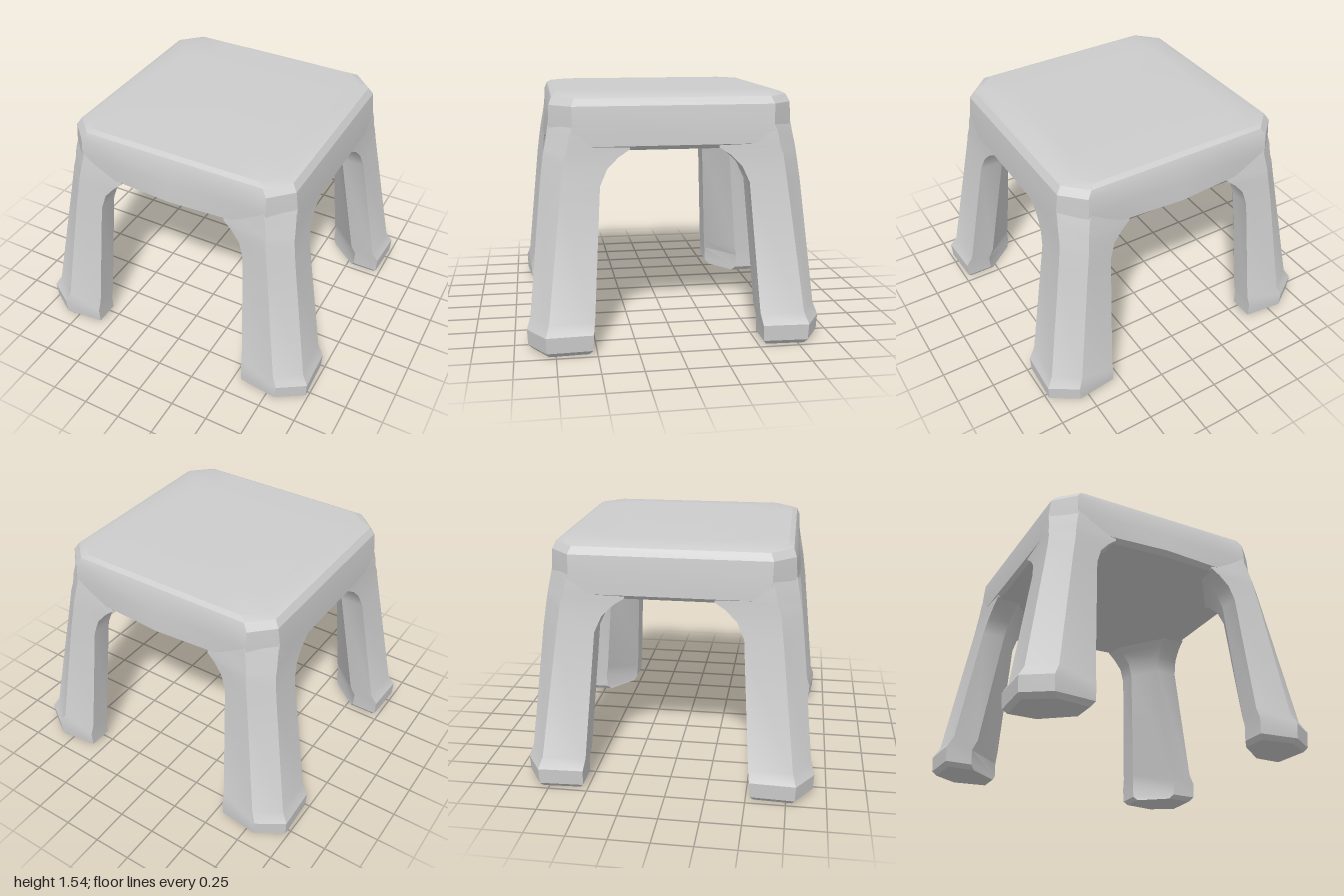
import * as THREE from 'three';
import { toCreasedNormals } from 'three/addons/utils/BufferGeometryUtils.js';

const plastic = new THREE.MeshStandardMaterial({ color: 0xcccccc });
plastic.name = 'light grey plastic';

// Skin a stack of rings (bottom to top, each running from +x towards +z) and cap both ends.
function loft(rings) {
  const n = rings[0].length;
  const index = [];
  for (let r = 0; r < rings.length - 1; r++) {
    for (let i = 0; i < n; i++) {
      const j = (i + 1) % n;
      const a = r * n + i, d = r * n + j;
      index.push(a, a + n, d + n, a, d + n, d);
    }
  }
  const top = (rings.length - 1) * n;
  for (let i = 1; i < n - 1; i++) {
    index.push(0, i, i + 1, top, top + i + 1, top + i);
  }
  const geometry = new THREE.BufferGeometry();
  geometry.setAttribute('position', new THREE.Float32BufferAttribute(rings.flat(2), 3));
  geometry.setIndex(index);
  return toCreasedNormals(geometry, 0.42);
}

// Square with cut corners; the front and back edges bow out in the middle.
function seatRing([y, hx, hz, c, bow]) {
  return [
    [hx, y, -hz + c], [hx, y, hz - c], [hx - c, y, hz], [0.38, y, hz],
    [0, y, hz + bow], [-0.38, y, hz], [-hx + c, y, hz],
    [-hx, y, hz - c], [-hx, y, -hz + c], [-hx + c, y, -hz], [-0.38, y, -hz],
    [0, y, -hz - bow], [0.38, y, -hz], [hx - c, y, -hz],
  ];
}

// Six-sided leg section: outer corner and inner corner are both cut away.
function legRing([y, xo, zo, xi, zi, cx, cz, d], sx, sz) {
  const ring = [
    [xo - 0.012, zi], [xo, zo - cz], [xo - cx, zo],
    [xi, zo - 0.03], [xi, zo - d], [xo - d, zi],
  ].map(([x, z]) => [x * sx, y, z * sz]);
  return sx * sz < 0 ? ring.reverse() : ring;
}

export function createModel() {
  const group = new THREE.Group();
  group.name = 'stool';
  const add = (name, geometry) => {
    const mesh = new THREE.Mesh(geometry, plastic);
    mesh.name = name;
    group.add(mesh);
  };

  // Seat slab with apron, rounded shoulder and faintly raised top: y, half x, half z, corner cut, bow
  add('seat', loft([
    [1.208, 0.755, 0.725, 0.13, 0.02],
    [1.235, 0.782, 0.755, 0.14, 0.025],
    [1.36, 0.778, 0.757, 0.14, 0.012],
    [1.475, 0.765, 0.75, 0.13, 0],
    [1.52, 0.735, 0.732, 0.13, 0],
    [1.537, 0.69, 0.70, 0.12, 0],
    [1.545, 0.56, 0.45, 0.04, 0],
  ].map(seatRing)));

  // Splayed legs: flared foot, straight shaft, arched gusset, tip tucked into the seat
  // y, outer x, outer z, inner x, inner z, corner cut x, corner cut z, inner cut
  const sections = [
    [0, 0.965, 0.89, 0.585, 0.55, 0.16, 0.1, 0.19],
    [0.03, 0.992, 0.915, 0.562, 0.527, 0.17, 0.11, 0.19],
    [0.13, 0.997, 0.92, 0.562, 0.523, 0.17, 0.11, 0.19],
    [0.2, 0.955, 0.897, 0.556, 0.512, 0.16, 0.11, 0.18],
    [1.0, 0.818, 0.815, 0.512, 0.46, 0.13, 0.12, 0.17],
    [1.1, 0.802, 0.802, 0.48, 0.415, 0.13, 0.12, 0.17],
    [1.17, 0.793, 0.792, 0.42, 0.345, 0.13, 0.12, 0.17],
    [1.215, 0.788, 0.784, 0.365, 0.275, 0.13, 0.13, 0.17],
    [1.3, 0.782, 0.768, 0.36, 0.27, 0.14, 0.13, 0.17],
    [1.42, 0.765, 0.748, 0.36, 0.27, 0.15, 0.15, 0.17],
  ];
  for (const [name, sx, sz] of [
    ['frontLeftLeg', 1, 1], ['frontRightLeg', -1, 1],
    ['backLeftLeg', 1, -1], ['backRightLeg', -1, -1],
  ]) {
    add(name, loft(sections.map((s) => legRing(s, sx, sz))));
  }
  return group;
}
